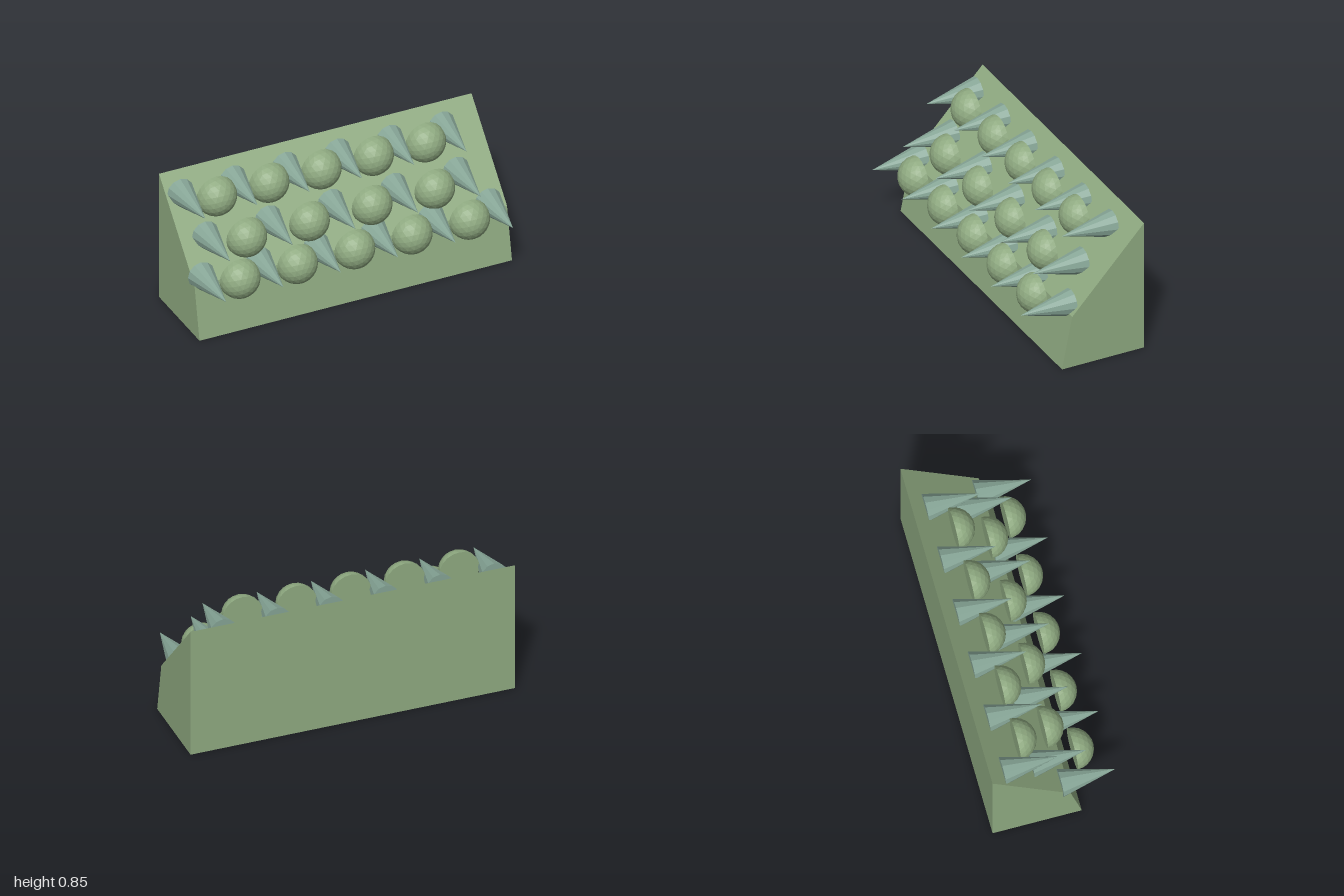
import * as THREE from 'three';

const mat = (name, color) => {
  const m = new THREE.MeshStandardMaterial({ color });
  m.name = name;
  return m;
};

// Non-indexed geometry with one normal per face
function faceted(geometry) {
  const g = geometry.index ? geometry.toNonIndexed() : geometry;
  g.computeVertexNormals();
  return g;
}

// Half ball facing +z, its rear half flattened into a disc
function domeGeometry(radius) {
  const g = new THREE.IcosahedronGeometry(radius, 3);
  g.rotateX(Math.atan(2 / (1 + Math.sqrt(5))));
  const p = g.attributes.position;
  for (let i = 0; i < p.count; i++) p.setZ(i, Math.max(0, p.getZ(i)));
  return faceted(g);
}

export function createModel() {
  const model = new THREE.Group();
  model.name = 'spikedRamp';
  const green = mat('sage green', 0x8faa81);
  const teal = mat('grey teal', 0x86a596);

  // Sloped block: side profile in (z, y), swept along x
  const profile = new THREE.Shape(
    [[0.155, 0], [0.09, 0.33], [-0.372, 0.826], [-0.372, 0]].map(([z, y]) => new THREE.Vector2(-z, y))
  );
  const blockGeo = new THREE.ExtrudeGeometry(profile, { depth: 1.98, bevelEnabled: false });
  blockGeo.rotateY(Math.PI / 2).translate(-0.98, 0, 0);
  const block = new THREE.Mesh(blockGeo, green);
  block.name = 'slopedBlock';
  model.add(block);

  // Spike base sits at z = 0 and the tip points to +z
  const length = 0.327;
  const spikeGeo = faceted(new THREE.ConeGeometry(0.083, length, 12).rotateX(Math.PI / 2).translate(0, 0, length / 2));
  const domeGeo = domeGeometry(0.123);

  // Rows of alternating spikes and domes
  const rows = [
    { name: 'lowerRow', y: 0.365, spikeZ: 0.045, domeZ: 0.167, x: -0.917, step: 0.3635, spikes: 6 },
    { name: 'middleRow', y: 0.53, spikeZ: -0.102, domeZ: 0.02, x: -0.82, step: 0.397, spikes: 5 },
    { name: 'upperRow', y: 0.728, spikeZ: -0.289, domeZ: -0.167, x: -0.886, step: 0.331, spikes: 6 },
  ];
  for (const r of rows) {
    const row = new THREE.Group();
    row.name = r.name;
    const add = (geo, material, name, x, z) => {
      const mesh = new THREE.Mesh(geo, material);
      mesh.name = name;
      mesh.position.set(x, r.y, z);
      row.add(mesh);
    };
    for (let i = 0; i < r.spikes; i++) {
      const x = r.x + i * r.step;
      add(spikeGeo, teal, 'spike', x, r.spikeZ);
      if (i < r.spikes - 1) add(domeGeo, green, 'dome', x + r.step / 2, r.domeZ);
    }
    model.add(row);
  }
  return model;
}
